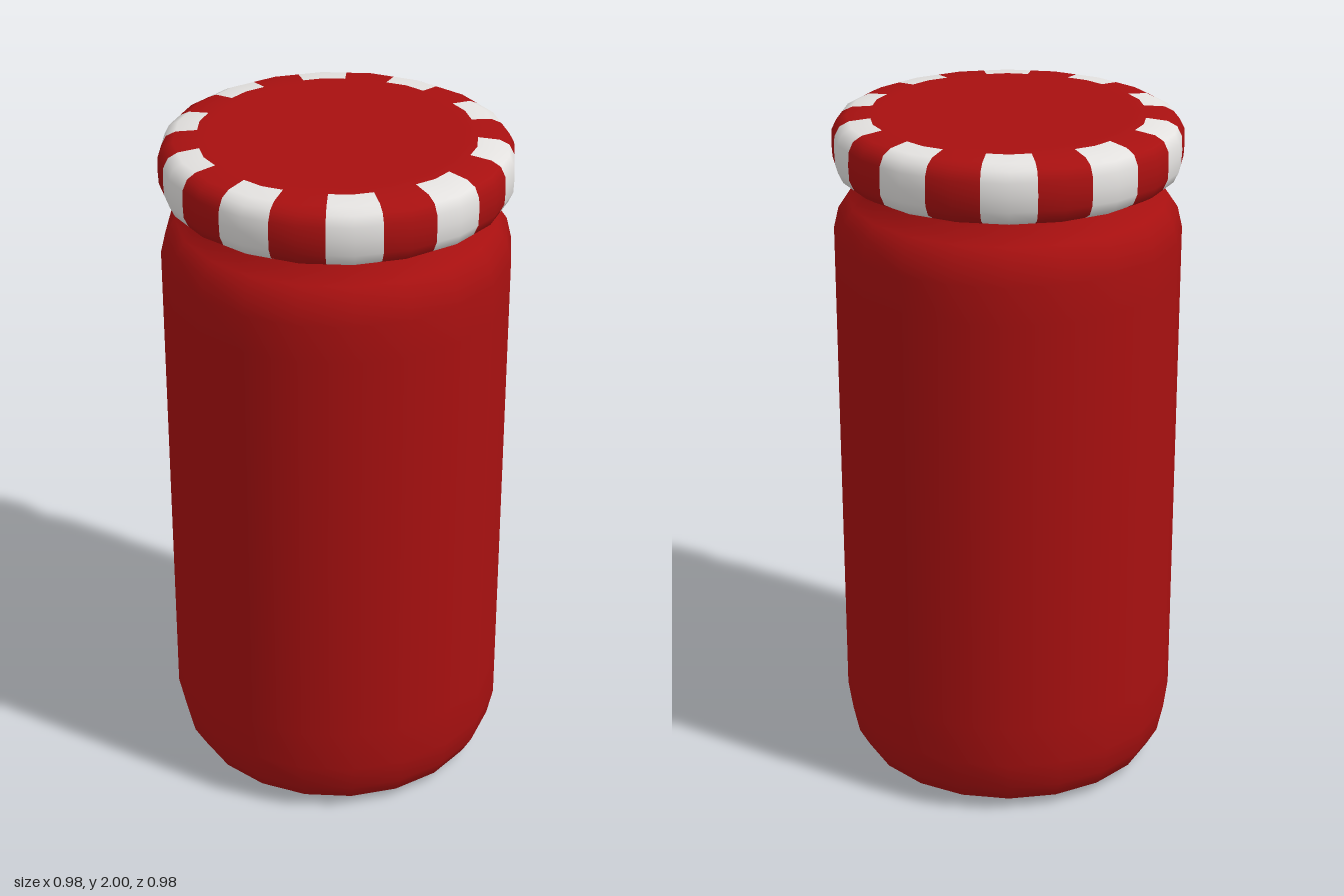
import * as THREE from 'three';

const SIDES = 20;
const HALF = Math.PI / SIDES;
const profile = (pts, scale = 1) => pts.map(([r, y]) => new THREE.Vector2(r * scale, y));

export function createModel() {
  const model = new THREE.Group();
  const red = new THREE.MeshStandardMaterial({ color: 0xa81010 });
  red.name = 'deep red';
  const white = new THREE.MeshStandardMaterial({ color: 0xe4e2e0 });
  white.name = 'off white';

  // Can body: 20-sided, smooth, with rounded base, shoulder and short neck.
  // Radii are measured to the flats, so they are scaled out to the corners.
  const bodyProfile = profile([
    [0, 0], [0.35, 0], [0.40, 0.01], [0.44, 0.035], [0.47, 0.09], [0.488, 0.175],
    [0.488, 0.3], [0.488, 1.55], [0.488, 1.66], [0.474, 1.72], [0.447, 1.76],
    [0.40, 1.80], [0.398, 1.85],
  ], 1 / Math.cos(HALF));
  const body = new THREE.Mesh(new THREE.LatheGeometry(bodyProfile, SIDES, HALF), red);
  body.name = 'body';
  model.add(body);

  // Lid: the same 20 flats, each divided in the middle where stripes change.
  const lidProfile = profile([
    [0, 1.822], [0.40, 1.822], [0.445, 1.824], [0.472, 1.84], [0.486, 1.87], [0.488, 1.91],
    [0.486, 1.95], [0.472, 1.978], [0.445, 1.992], [0.385, 1.998], [0.35, 2], [0, 2],
  ]);
  const lidGeo = new THREE.LatheGeometry(lidProfile, SIDES * 2);
  const rows = lidProfile.length;
  const pos = lidGeo.attributes.position;
  for (let i = 0; i < pos.count; i++) {
    if (Math.floor(i / rows) % 2 === 0) continue;
    pos.setX(i, pos.getX(i) / Math.cos(HALF));
    pos.setZ(i, pos.getZ(i) / Math.cos(HALF));
  }

  // Stripes: white on every second pair of columns, only around the rim.
  const strip = rows - 1, from = 2, to = 9;
  for (let s = 0; s < SIDES * 2; s++) {
    const start = s * strip * 6;
    if (Math.floor(s / 2) % 2 === 0) {
      lidGeo.addGroup(start, strip * 6, 0);
    } else {
      lidGeo.addGroup(start, from * 6, 0);
      lidGeo.addGroup(start + from * 6, (to - from) * 6, 1);
      lidGeo.addGroup(start + to * 6, (strip - to) * 6, 0);
    }
  }
  const lid = new THREE.Mesh(lidGeo, [red, white]);
  lid.name = 'stripedLid';
  model.add(lid);

  return model;
}
